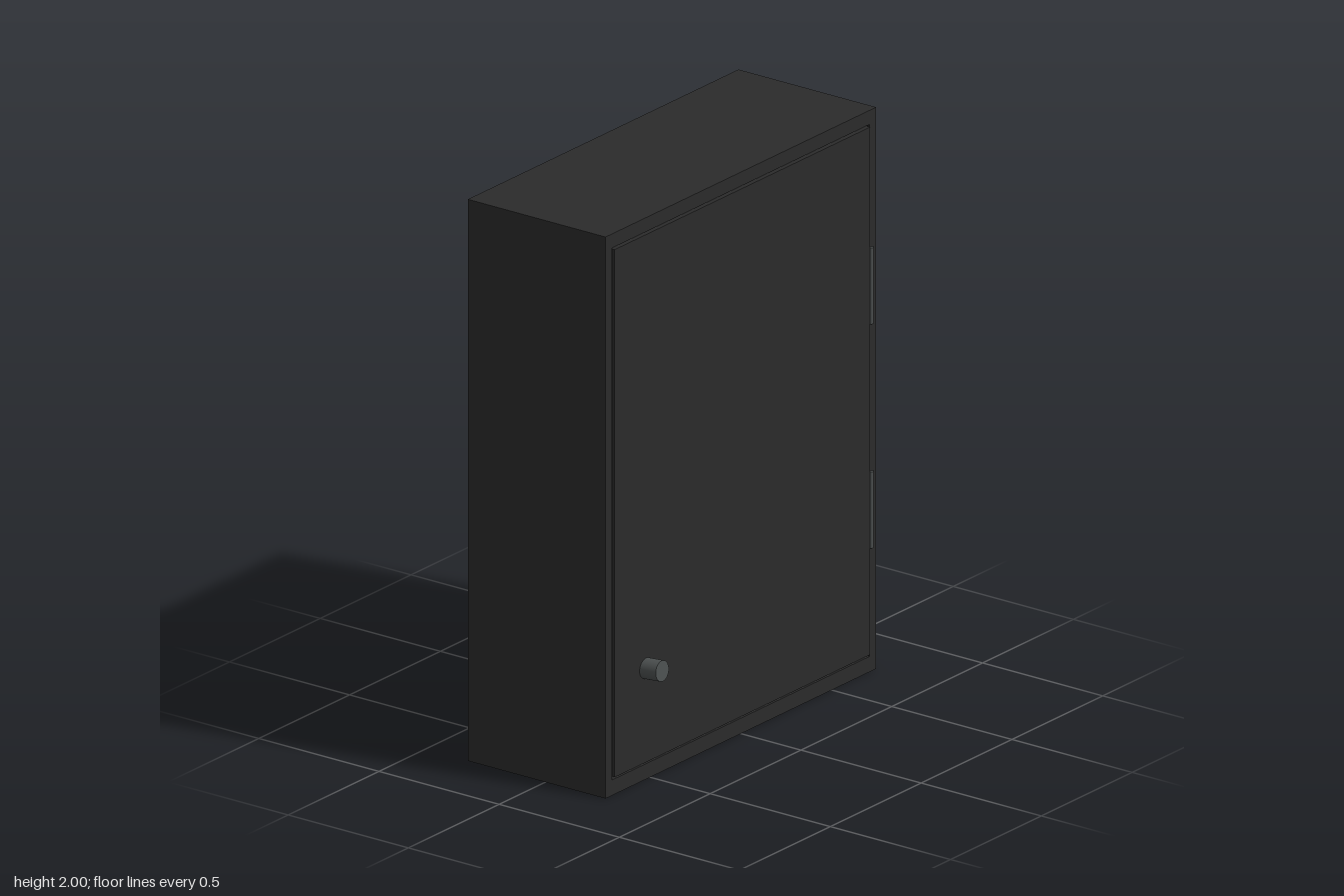
import * as THREE from 'three';

const W = 1.49, H = 2, BACK = -0.323, FRONT = 0.25;

export function createModel() {
  const cabinet = new THREE.Group();
  cabinet.name = 'wallCabinet';

  const paint = new THREE.MeshStandardMaterial({ color: 0x2b2b2b });
  const metal = new THREE.MeshStandardMaterial({ color: 0x4c5050 });

  const add = (name, geometry, material, x, y, z) => {
    const mesh = new THREE.Mesh(geometry, material);
    mesh.name = name;
    mesh.position.set(x, y, z);
    cabinet.add(mesh);
    return mesh;
  };

  // Hollow case: an outer rectangle with the door opening cut out, extruded front to back
  const rect = (path, x0, y0, x1, y1) =>
    path.moveTo(x0, y0).lineTo(x1, y0).lineTo(x1, y1).lineTo(x0, y1).closePath();
  const outline = new THREE.Shape();
  rect(outline, -W / 2, 0, W / 2, H);
  const opening = new THREE.Path();
  rect(opening, -0.709, 0.055, 0.709, 1.95);
  outline.holes.push(opening);
  const caseGeometry = new THREE.ExtrudeGeometry(outline, { depth: FRONT - BACK, bevelEnabled: false });
  add('case', caseGeometry, paint, 0, 0, BACK);

  // Back panel closing the case
  add('backPanel', new THREE.BoxGeometry(1.418, 1.895, 0.03), paint, 0, 1.0025, BACK + 0.015);

  // Door, standing slightly proud of the case with a thin gap around it
  add('door', new THREE.BoxGeometry(1.407, 1.879, 0.04), paint, 0.003, 1.0025, FRONT - 0.016);

  // Hinge barrels on the door's left edge
  for (const y of [0.578, 1.376]) {
    add('hinge', new THREE.CylinderGeometry(0.008, 0.008, 0.272, 16), metal, 0.714, y, FRONT + 0.003);
  }

  // Latch bolt in the gap on the opposite edge
  add('latch', new THREE.BoxGeometry(0.014, 0.06, 0.02), metal, -0.705, 0.424, FRONT - 0.02);

  // Round knob, tipped slightly upward
  const knob = add('knob', new THREE.CylinderGeometry(0.036, 0.036, 0.085, 32), metal, -0.527, 0.4, 0.279);
  knob.rotation.x = Math.PI / 2 - 0.08;

  return cabinet;
}
